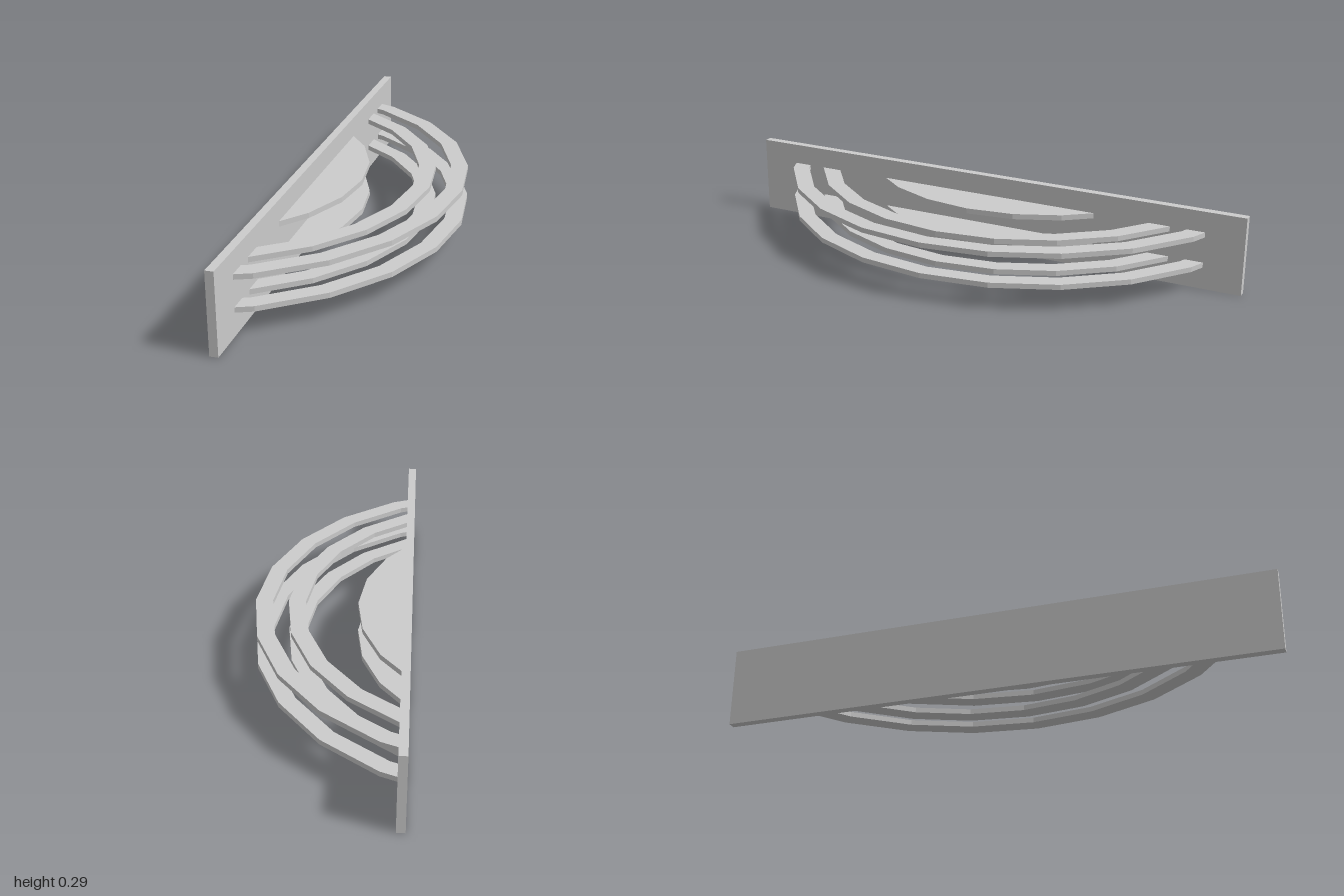
import * as THREE from 'three';

const WALL = -0.255; // front face of the back plate
const STEP = Math.PI / 12; // 24-sided circles

// Points of a faceted circle of radius r about (cx, 0), cut off at the plate
function arc(cx, r) {
  const at = (k) => new THREE.Vector2(cx + r * Math.cos(k * STEP), r * Math.sin(k * STEP));
  const half = [];
  let k = 0;
  while (at(k).x > WALL) half.push(at(k++));
  const a = at(k - 1), b = at(k);
  half.push(a.clone().lerp(b, (WALL - a.x) / (b.x - a.x)));
  const mirrored = half.slice(1).reverse().map((p) => new THREE.Vector2(p.x, -p.y));
  return [...mirrored, ...half];
}

// Flat horizontal slab from an outline, from y0 to y1
function slab(name, points, y0, y1, material) {
  const geometry = new THREE.ExtrudeGeometry(new THREE.Shape(points), { depth: y1 - y0, bevelEnabled: false });
  geometry.rotateX(-Math.PI / 2).translate(0, y0, 0);
  const mesh = new THREE.Mesh(geometry, material);
  mesh.name = name;
  return mesh;
}

export function createModel() {
  const group = new THREE.Group();
  group.name = 'curvedWallRack';
  const material = new THREE.MeshStandardMaterial({ color: 0xcccccc, flatShading: true });

  // Back plate
  const plate = new THREE.Mesh(new THREE.BoxGeometry(0.03, 0.293, 2), material);
  plate.name = 'backPlate';
  plate.position.set(-0.27, 0.1465, 0);
  group.add(plate);

  // Two identical tiers: outer rail, inner rail and a solid shelf segment
  [['lower', 0.082], ['upper', 0.197]].forEach(([tier, y]) => {
    const rail = (outer, inner) => [...arc(-0.677, outer), ...arc(-0.677, inner).reverse()];
    group.add(
      slab(tier + 'OuterRail', rail(0.96, 0.897), y, y + 0.019, material),
      slab(tier + 'InnerRail', rail(0.84, 0.777), y, y + 0.019, material),
      slab(tier + 'Shelf', arc(-0.77, 0.68), y, y + 0.02, material),
    );
  });
  return group;
}
